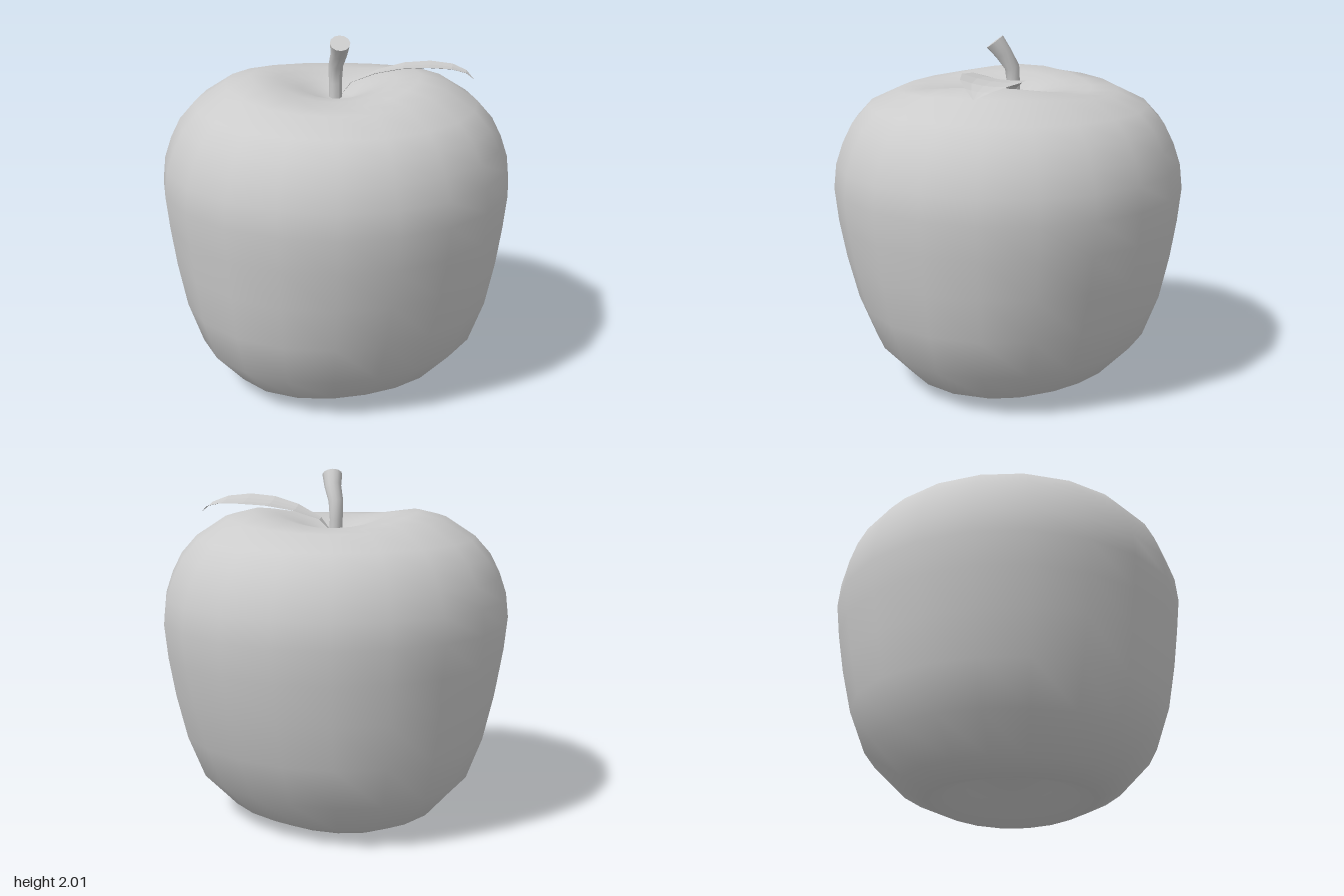
import * as THREE from 'three';
import { mergeVertices } from 'three/addons/utils/BufferGeometryUtils.js';

const grey = (extra = {}) => new THREE.MeshStandardMaterial({ color: 0xcccccc, ...extra });

// Run a rule over every vertex, then refresh the normals.
function moveVertices(geometry, rule) {
  const pos = geometry.attributes.position;
  const v = new THREE.Vector3();
  for (let i = 0; i < pos.count; i++) {
    rule(v.fromBufferAttribute(pos, i));
    pos.setXYZ(i, v.x, v.y, v.z);
  }
  geometry.computeVertexNormals();
  return geometry;
}

// Fruit body: a turned profile with a lobed base and an uneven upper rim.
function createBody() {
  const profile = [
    [0, 0.17], [0.12, 0.16], [0.25, 0.1], [0.37, 0.03], [0.47, 0], [0.62, 0.07], [0.8, 0.26],
    [0.89, 0.5], [0.945, 0.75], [0.98, 0.97], [1, 1.16], [0.985, 1.3], [0.945, 1.42], [0.89, 1.53],
    [0.8, 1.63], [0.63, 1.725], [0.48, 1.745], [0.34, 1.735], [0.2, 1.7], [0.09, 1.655], [0, 1.64],
  ].map(([r, y]) => new THREE.Vector2(r, y));
  let geometry = new THREE.LatheGeometry(profile, 20);
  geometry.deleteAttribute('uv');
  geometry.deleteAttribute('normal');
  geometry = mergeVertices(geometry, 1e-4);
  moveVertices(geometry, (v) => {
    const r = Math.hypot(v.x, v.z);
    const angle = Math.atan2(v.z, v.x);
    // three soft lobes low down
    const low = THREE.MathUtils.clamp(1 - v.y / 0.9, 0, 1);
    const lobe = 1 + 0.045 * low * Math.cos(3 * (angle - Math.PI / 4));
    v.x = v.x * lobe - 0.03 * low;
    v.z *= lobe;
    // two high and two low places around the rim
    if (v.y > 1.6) {
      const band = Math.exp(-(((r - 0.46) / 0.2) ** 2));
      v.y += 0.038 * band * Math.cos(2 * (angle - 0.68));
    }
  });
  return new THREE.Mesh(geometry, grey());
}

// Stalk: a bent cylinder that widens towards its cut end.
function createStalk() {
  const path = [
    [0.015, 1.6, -0.025], [0.015, 1.73, -0.028], [0.012, 1.83, -0.02], [0, 1.91, 0.028], [-0.025, 1.975, 0.07],
  ].map((p) => new THREE.Vector3(...p));
  const radii = [0.037, 0.037, 0.042, 0.048, 0.057];
  const last = path.length - 1;
  const up = new THREE.Vector3(0, 1, 0);
  const turns = path.map((p, i) => {
    const along = path[Math.min(i + 1, last)].clone().sub(path[Math.max(i - 1, 0)]).normalize();
    return new THREE.Quaternion().setFromUnitVectors(up, along);
  });
  const geometry = new THREE.CylinderGeometry(1, 1, last, 12, last);
  moveVertices(geometry, (v) => {
    const i = Math.round(v.y + last / 2);
    v.y = 0;
    v.multiplyScalar(radii[i]).applyQuaternion(turns[i]).add(path[i]);
  });
  return new THREE.Mesh(geometry, grey());
}

// Leaf: a faceted blade that arches out from the stalk and curls down at its tip.
function createLeaf() {
  const rows = [ // x, y, z of the midrib, then half width
    [0.035, 1.66, 0, 0.008], [0.09, 1.73, 0.025, 0.035], [0.2, 1.785, 0.115, 0.1], [0.31, 1.815, 0.21, 0.15],
    [0.42, 1.825, 0.31, 0.165], [0.51, 1.82, 0.4, 0.13], [0.565, 1.8, 0.46, 0.07], [0.593, 1.765, 0.495, 0.006],
  ];
  const last = rows.length - 1;
  const geometry = new THREE.PlaneGeometry(2, last, 4, last);
  moveVertices(geometry, (v) => {
    const [x, y, z, half] = rows[Math.round(v.y + last / 2)];
    const s = v.x; // -1 is the raised front edge, +1 the lower outer edge
    const across = s * half;
    v.set(x + across * 0.69, y - across * 0.1 + 0.1 * half * s * s, z - across * 0.72);
  });
  return new THREE.Mesh(geometry, grey({ flatShading: true, side: THREE.DoubleSide }));
}

export function createModel() {
  const model = new THREE.Group();
  model.name = 'apple';
  const parts = { body: createBody(), stalk: createStalk(), leaf: createLeaf() };
  for (const [name, mesh] of Object.entries(parts)) {
    mesh.name = name;
    model.add(mesh);
  }
  return model;
}
